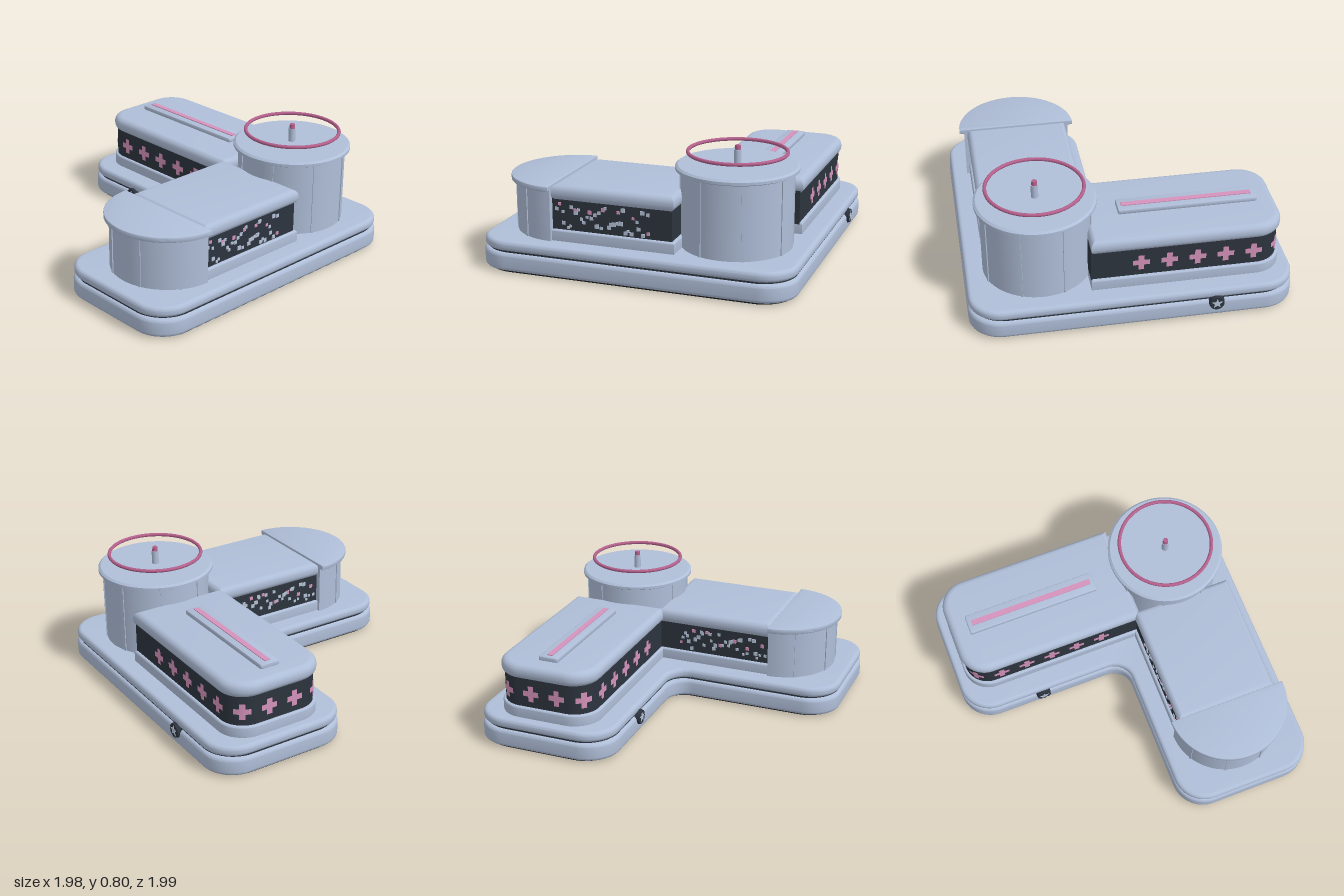
import * as THREE from 'three';
import { toCreasedNormals } from 'three/addons/utils/BufferGeometryUtils.js';

const material = (name, color, side = THREE.FrontSide) => {
  const m = new THREE.MeshStandardMaterial({ color, side });
  m.name = name;
  return m;
};

// Plan outline from [x, z, radius] corners; shape y is -z.
function outline(corners) {
  const shape = new THREE.Shape();
  const P = corners.map(([x, z]) => new THREE.Vector2(x, -z));
  const n = P.length;
  const toward = (a, b, d) => a.clone().add(b.clone().sub(a).setLength(d));
  P.forEach((p, i) => {
    const r = corners[i][2] || 0;
    const a = r ? toward(p, P[(i + n - 1) % n], r) : p;
    if (i === 0) shape.moveTo(a.x, a.y); else shape.lineTo(a.x, a.y);
    if (!r) return;
    const b = toward(p, P[(i + 1) % n], r);
    const c = a.clone().lerp(p, 0.5523), d = b.clone().lerp(p, 0.5523);
    shape.bezierCurveTo(c.x, c.y, d.x, d.y, b.x, b.y);
  });
  shape.closePath();
  return shape;
}

// Upright slab between two heights with rounded rims inside the outline.
function slab(shape, y0, y1, bevel = 0) {
  const g = new THREE.ExtrudeGeometry(shape, {
    depth: y1 - y0 - 2 * bevel, curveSegments: 16, bevelEnabled: bevel > 0,
    bevelThickness: bevel, bevelSize: bevel, bevelOffset: -bevel, bevelSegments: 5,
  });
  g.rotateX(-Math.PI / 2).translate(0, y0 + bevel, 0);
  return toCreasedNormals(g, 0.6);
}

export function createModel() {
  const model = new THREE.Group();
  const shell = material('blue grey shell', 0xafbed8);
  const glass = material('dark window band', 0x2d343e);
  const pink = material('pink markings', 0xd592bb);
  const rose = material('rose ring', 0xb4608c);
  const black = material('black underside', 0x222225);
  const lightPlate = material('pale panes', 0xb4c2d6);

  const add = (name, geometry, mat, parent = model) => {
    const mesh = new THREE.Mesh(geometry, mat);
    mesh.name = name;
    parent.add(mesh);
    return mesh;
  };
  const group = (name) => {
    const g = new THREE.Group();
    g.name = name;
    model.add(g);
    return g;
  };

  // L-shaped base in layers
  const base = (i) => outline([
    [-0.99 + i, -0.08 - i, 0.2], [-0.99 + i, -0.98 + i, 0.2], [0.985 - i, -0.98 + i, 0.2],
    [0.985 - i, 0.99 - i, 0.2], [0.09 + i, 0.99 - i, 0.2], [0.09 + i, -0.08 - i, 0.13],
  ]);
  add('underside', slab(base(0.022), 0, 0.03, 0.012), black);
  add('lowerBase', slab(base(0), 0.012, 0.128, 0.025), shell);
  add('baseGroove', slab(base(0.02), 0.11, 0.16), glass);
  add('upperBase', slab(base(0.004), 0.136, 0.2, 0.025), shell);

  // West wing with rounded outer corners
  const wing = (i) => outline([
    [0.25, -0.21 - i], [-0.925 + i, -0.21 - i, 0.17 - i],
    [-0.925 + i, -0.855 + i, 0.17 - i], [0.25, -0.855 + i],
  ]);
  add('westWingPlinth', slab(wing(0), 0.19, 0.27, 0.012), shell);
  add('westWingWindows', slab(wing(0.018), 0.26, 0.47), glass);
  add('westWingRoof', slab(wing(0), 0.448, 0.545, 0.042), shell);

  // Cross markings that follow the window band around its corners
  const path = wing(0.018);
  const total = path.getLength();
  const crosses = group('crossMarkings');
  const wrappedPlate = (s, w, h) => {
    const g = new THREE.PlaneGeometry(w, h, 8, 1);
    const pos = g.attributes.position;
    for (let i = 0; i < pos.count; i++) {
      const t = (s - pos.getX(i)) / total;
      const p = path.getPoint(t), d = path.getTangent(t);
      pos.setXYZ(i, p.x - d.y * 0.004, 0.36 + pos.getY(i), -(p.y + d.x * 0.004));
    }
    g.computeVertexNormals();
    return g;
  };
  for (let k = 0; k < 14; k++) {
    const s = 0.27 + k * 0.171;
    add('crossBar', wrappedPlate(s, 0.102, 0.035), pink, crosses);
    add('crossPost', wrappedPlate(s, 0.035, 0.102), pink, crosses);
  }

  // Roof light strip
  const rect = (x0, x1, z0, z1, r = 0) => outline([[x0, z1, r], [x0, z0, r], [x1, z0, r], [x1, z1, r]]);
  add('roofPanel', slab(rect(-0.81, 0.045, -0.595, -0.468, 0.012), 0.54, 0.572, 0.008), shell);
  add('roofStripe', slab(rect(-0.78, 0.02, -0.55, -0.515), 0.57, 0.577), pink);

  // South wing
  const south = (i) => rect(0.21 + i, 0.86 - i, -0.25 + i, 0.53);
  add('southWingPlinth', slab(south(0), 0.19, 0.27, 0.012), shell);
  add('southWingWindows', slab(south(0.018), 0.26, 0.47), glass);
  add('southWingRoof', slab(south(0), 0.448, 0.546, 0.042), shell);

  // Scattered square panes on both long sides
  let seed = 7;
  const random = () => (seed = (seed * 16807) % 2147483647) / 2147483647;
  const panes = group('scatteredPanes');
  for (const side of [-1, 1]) {
    for (let k = 0; k < 38; k++) {
      const size = 0.016 + random() * 0.01;
      const pane = add('pane', new THREE.BoxGeometry(0.006, size, size), k % 6 ? lightPlate : pink, panes);
      const z = -0.1 + 0.6 * (k + random()) / 38;
      pane.position.set(0.535 + side * 0.309, 0.285 + random() * 0.145, z);
    }
  }

  // Half-round pavilion at the south end
  const halfDisc = (r) => {
    const s = new THREE.Shape();
    s.absarc(0.535, -0.525, r, Math.PI, Math.PI * 2);
    s.closePath();
    return s;
  };
  add('pavilionWall', slab(halfDisc(0.345), 0.19, 0.52), shell);
  add('pavilionRoof', slab(halfDisc(0.375), 0.512, 0.545, 0.005), shell);

  // Round tower with lid
  const lathe = (pts) => toCreasedNormals(
    new THREE.LatheGeometry(pts.map(([x, y]) => new THREE.Vector2(x, y)), 64), 0.5);
  const tower = group('tower');
  tower.position.set(0.535, 0, -0.53);
  add('towerWall', new THREE.CylinderGeometry(0.335, 0.335, 0.47, 64), shell, tower).position.y = 0.425;
  add('towerLid', lathe([[0, 0.655], [0.352, 0.655], [0.366, 0.662], [0.366, 0.679],
    [0.352, 0.69], [0, 0.69]]), shell, tower);

  // Slim wall ribs
  const rib = (name, cx, cz, r, angle, y0, y1) => {
    const m = add(name, new THREE.BoxGeometry(0.014, y1 - y0, 0.012), shell);
    m.position.set(cx + Math.sin(angle) * r, (y0 + y1) / 2, cz + Math.cos(angle) * r);
    m.rotation.y = angle;
  };
  for (let k = 0; k < 8; k++) rib('towerRib', 0.535, -0.53, 0.335, (k + 0.5) * Math.PI / 4, 0.2, 0.66);
  for (const deg of [-60, -20, 20, 60]) {
    rib('pavilionRib', 0.535, 0.525, 0.345, THREE.MathUtils.degToRad(deg), 0.2, 0.515);
  }

  // Mast and floating ring
  add('mast', new THREE.CylinderGeometry(0.022, 0.022, 0.09, 20), shell, tower).position.y = 0.73;
  add('mastTip', new THREE.CylinderGeometry(0.016, 0.018, 0.03, 20), rose, tower).position.y = 0.787;
  const ring = add('ring', new THREE.TorusGeometry(0.292, 0.011, 12, 72), rose, tower);
  ring.rotation.x = Math.PI / 2;
  ring.position.y = 0.763;

  // Star badges on the front and back of the base
  const star = new THREE.Shape();
  for (let i = 0; i < 10; i++) {
    const r = i % 2 ? 0.015 : 0.035, a = Math.PI / 2 + i * Math.PI / 5;
    star[i ? 'lineTo' : 'moveTo'](Math.cos(a) * r, Math.sin(a) * r);
  }
  star.closePath();
  const starGeometry = new THREE.ExtrudeGeometry(star, { depth: 0.004, bevelEnabled: false });
  const discGeometry = new THREE.CylinderGeometry(0.044, 0.05, 0.03, 32).rotateX(Math.PI / 2);
  for (const [z, turn] of [[-0.08, 0], [-0.98, Math.PI]]) {
    const badge = group('starBadge');
    add('badgeDisc', discGeometry, glass, badge);
    add('badgeStar', starGeometry, lightPlate, badge).position.z = 0.014;
    badge.position.set(-0.485, 0.11, z);
    badge.rotation.y = turn;
  }
  return model;
}
